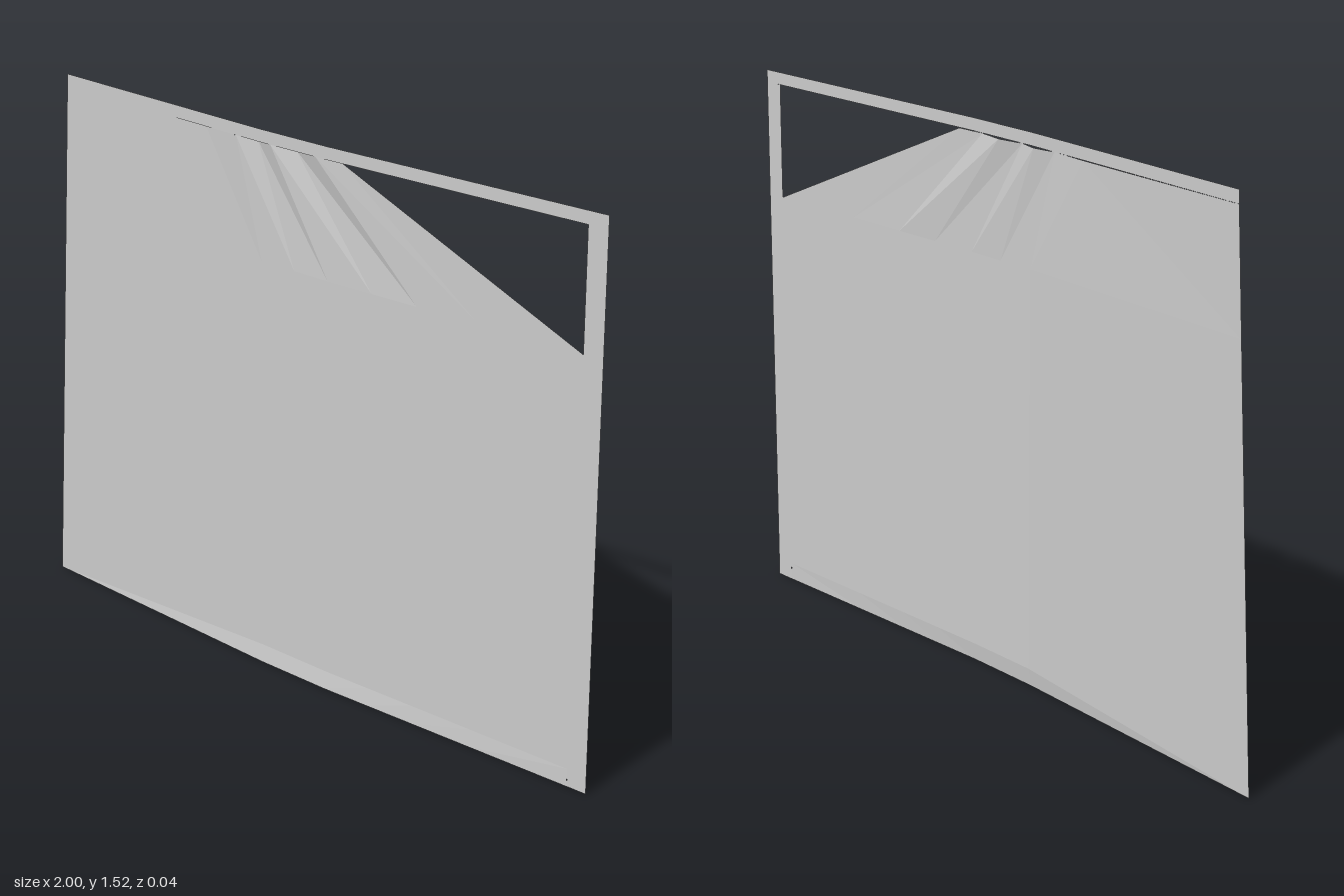
import * as THREE from 'three';

const material = new THREE.MeshStandardMaterial({
  color: 0xcccccc, flatShading: true, side: THREE.DoubleSide,
});

// Shallow bow of the cloth: edges sit back, the middle comes forward
const bow = (x, crest = 0.012) =>
  -0.018 + (crest + 0.018) * Math.min(1, (1 - Math.abs(x)) / 0.88);

// Left hem leans inwards as it rises
const hemX = (y) => -1 + 0.095 * y / 1.525;

// Surface through rows of [x, y, z] points, listed from bottom to top
function sheet(name, rows) {
  const n = rows[0].length, index = [];
  for (let r = 0; r < rows.length - 1; r++) {
    for (let c = 0; c < n - 1; c++) {
      const a = r * n + c, b = a + n;
      index.push(a, a + 1, b + 1, a, b + 1, b);
    }
  }
  const geometry = new THREE.BufferGeometry();
  geometry.setAttribute('position', new THREE.Float32BufferAttribute(rows.flat(2), 3));
  geometry.setIndex(index);
  geometry.computeVertexNormals();
  const mesh = new THREE.Mesh(geometry, material);
  mesh.name = name;
  return mesh;
}

export function createModel() {
  const group = new THREE.Group();
  group.name = 'hangingCurtain';
  const shoulder = 1.165, railLow = 1.49, top = 1.525;

  // Main cloth, with the lower edge flaring slightly forward
  const columns = [-0.12, 0, 0.12, 0.27, 0.42, 0.62, 0.94];
  const row = (y, crest) => [hemX(y), ...columns].map((x) => [x, y, bow(x, crest)]);
  group.add(sheet('cloth', [row(0, 0.018), row(0.05, 0.012), row(shoulder, 0.012)]));

  // Gathered folds: the cloth columns fan in towards the rail
  const gather = [-0.33, -0.21, -0.14, -0.08, 0, 0.08, 0.17];
  const pleat = [0, 0.004, -0.009, 0.004, -0.009, 0.003, 0];
  const lower = row(shoulder, 0.012);
  const upper = [
    [hemX(railLow), railLow, bow(hemX(railLow))],
    ...gather.map((x, i) => [x, railLow, bow(x, 0.014) + pleat[i]]),
  ];
  group.add(sheet('gatheredFolds', [lower, upper]));

  // Top rail
  const railX = [-0.33, -0.12, 0, 0.12, 0.4, 0.94, 1];
  group.add(sheet('topRail', [railLow, top].map((y) =>
    [hemX(y), ...railX].map((x) => [x, y, bow(x, 0.018)]))));

  // Upright border beside the triangular opening
  group.add(sheet('sidePost', [0, shoulder, railLow].map((y) =>
    [0.94, 1].map((x) => [x, y, bow(x)]))));

  return group;
}
